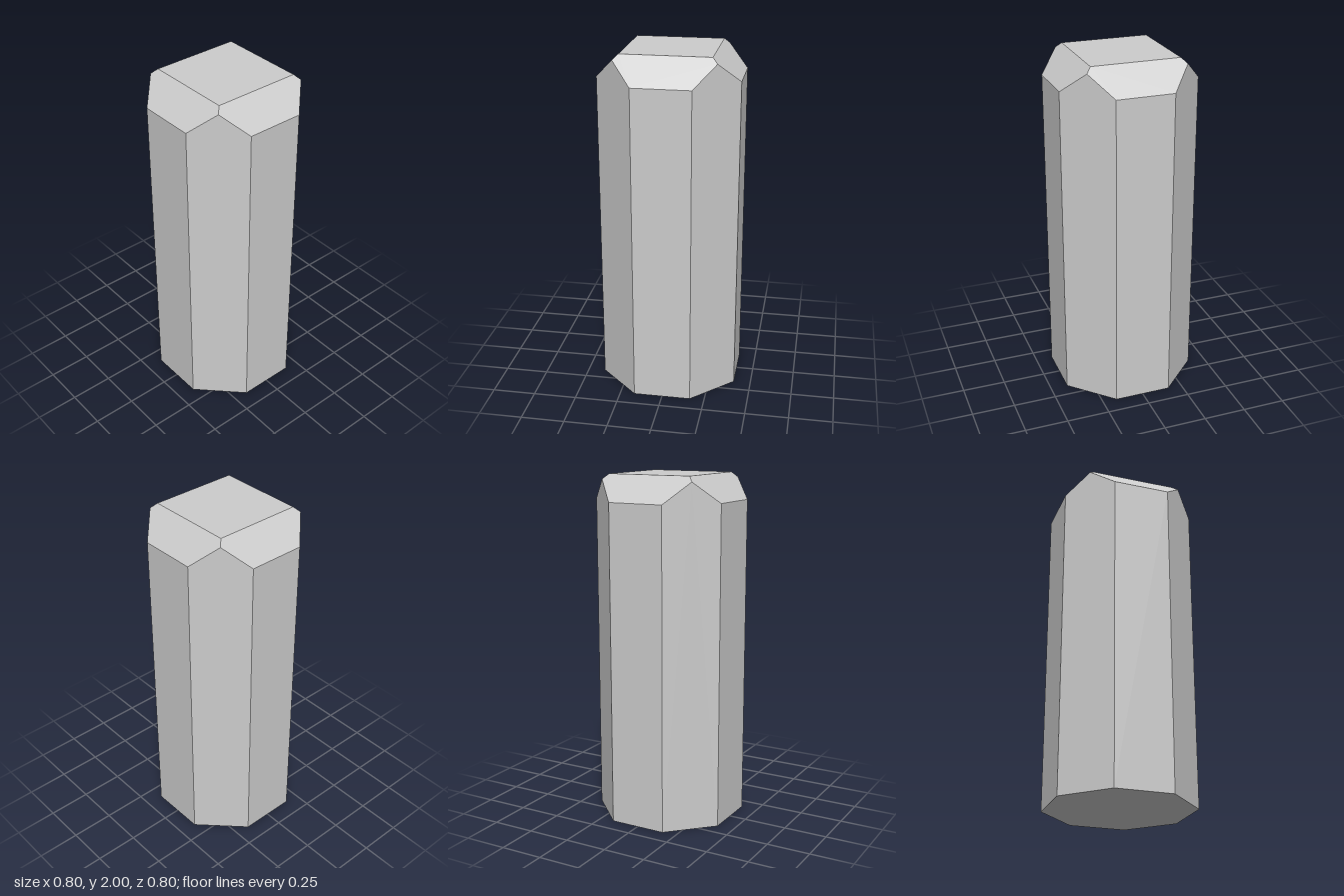
import * as THREE from 'three';
import { ConvexGeometry } from 'three/addons/geometries/ConvexGeometry.js';

const APOTHEM = 0.4;                                  // half width across flats
const HALF_SIDE = APOTHEM * Math.tan(Math.PI / 8);    // half of one octagon side
const DIAGONAL = APOTHEM * Math.SQRT1_2;              // middle of a diagonal side
const HEIGHT = 2;
const TOP_HALF = 0.254;                               // half width of the square top
const bevelY = (r) => HEIGHT + TOP_HALF - r;          // 45 degree bevel height

export function createModel() {
  const group = new THREE.Group();
  group.name = 'bevelledPost';

  // Corners of one quadrant, mirrored into all four
  const points = [];
  for (const sx of [1, -1]) {
    for (const sz of [1, -1]) {
      const add = (x, y, z) => points.push(new THREE.Vector3(sx * x, y, sz * z));
      // octagonal foot and the matching bevel start
      for (const y of [0, bevelY(APOTHEM)]) {
        add(APOTHEM, y, HALF_SIDE);
        add(HALF_SIDE, y, APOTHEM);
      }
      // peak of the diagonal side, where two bevels meet
      add(DIAGONAL, bevelY(DIAGONAL), DIAGONAL);
      // corner of the flat square top
      add(TOP_HALF, HEIGHT, TOP_HALF);
    }
  }

  const post = new THREE.Mesh(
    new ConvexGeometry(points),
    new THREE.MeshStandardMaterial({ color: 0xcccccc, flatShading: true })
  );
  post.name = 'post';
  group.add(post);
  return group;
}
